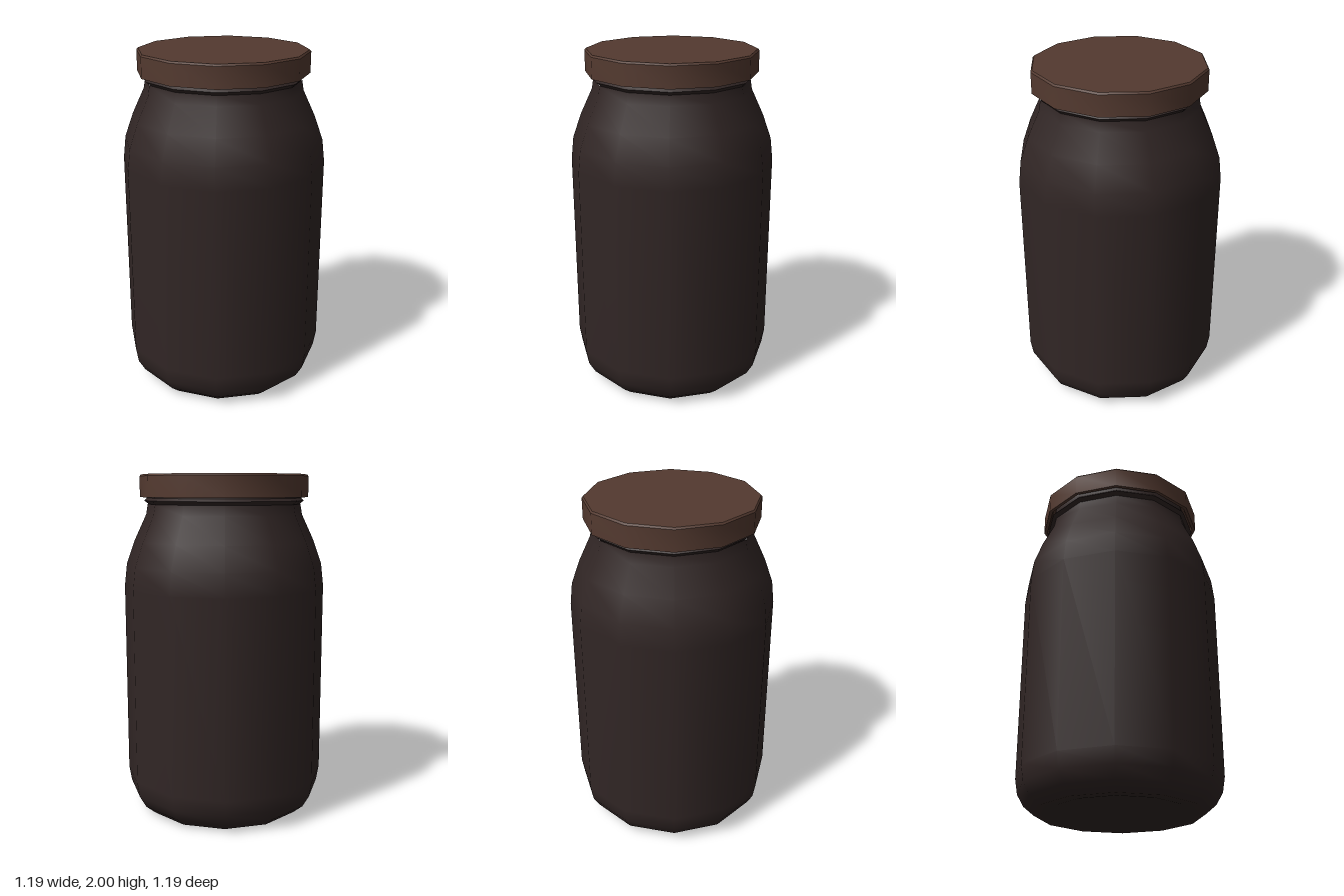
import * as THREE from 'three';
import { toCreasedNormals } from 'three/addons/utils/BufferGeometryUtils.js';

const SIDES = 12;

// Revolve a [radius, height] profile, listed from the bottom up
function turned(name, profile, material, crease) {
  const points = profile.map(([r, y]) => new THREE.Vector2(r, y));
  let geometry = new THREE.LatheGeometry(points, SIDES);
  if (crease) geometry = toCreasedNormals(geometry, crease);
  const mesh = new THREE.Mesh(geometry, material);
  mesh.name = name;
  return mesh;
}

export function createModel() {
  const darkGlass = new THREE.MeshStandardMaterial({ color: 0x312625 });
  darkGlass.name = 'dark brown glass';
  const lidBrown = new THREE.MeshStandardMaterial({ color: 0x543a30 });
  lidBrown.name = 'lid brown';

  const jar = new THREE.Group();
  jar.name = 'jar';

  // Rounded body with a shallow hollow base and sloping shoulders
  jar.add(turned('body', [
    [0, 0.03], [0.3, 0.025], [0.4, 0.005], [0.48, 0], [0.54, 0.05], [0.58, 0.12],
    [0.595, 0.21], [0.595, 1.35], [0.58, 1.48], [0.53, 1.62], [0.46, 1.77],
    [0.45, 1.83],
  ], darkGlass));

  // Neck with a thin thread ring below the lid
  jar.add(turned('neckRing', [
    [0.44, 1.82], [0.45, 1.835], [0.47, 1.85], [0.455, 1.865], [0.45, 1.9],
  ], darkGlass, 0.6));

  // Lid with a slightly bevelled top edge and a recessed underside
  jar.add(turned('lid', [
    [0, 1.9], [0.465, 1.9], [0.475, 1.87], [0.495, 1.87], [0.495, 1.99],
    [0.487, 2], [0, 2],
  ], lidBrown, 0.6));

  return jar;
}
